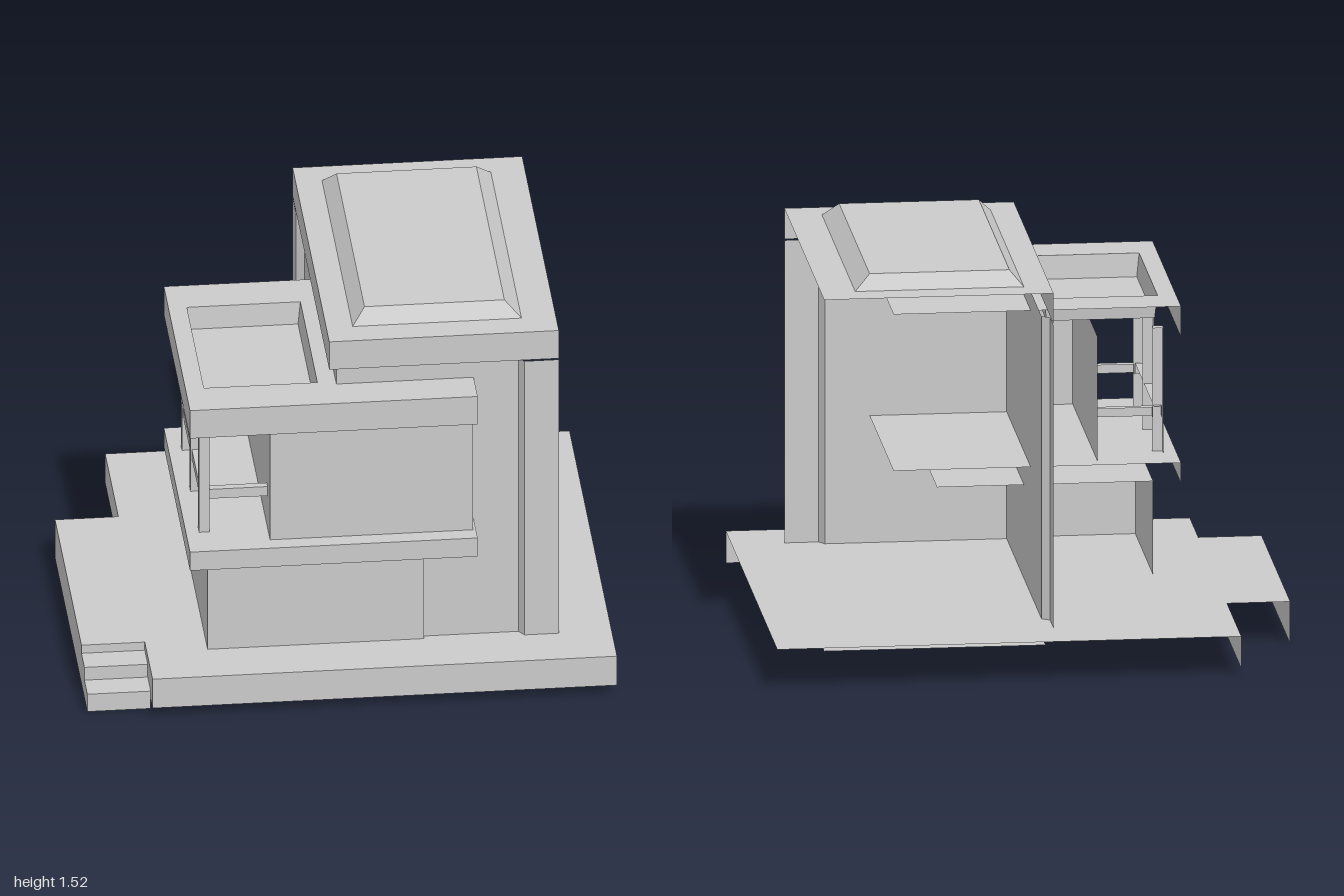
import * as THREE from 'three';

// Cutaway house: open shells showing front, left wall and top surfaces only.
export function createModel() {
  const model = new THREE.Group();
  const mat = new THREE.MeshStandardMaterial({ color: 0xcccccc, flatShading: true, side: THREE.DoubleSide });

  const add = (name, geo, parent = model) => {
    const m = new THREE.Mesh(geo, mat);
    m.name = name;
    parent.add(m);
    return m;
  };
  const group = (name) => {
    const g = new THREE.Group();
    g.name = name;
    model.add(g);
    return g;
  };

  // Strip of quads joining path a at height ya to path b at height yb; points are [x, z]
  const strip = (a, ya, b, yb, closed = false) => {
    const pos = [];
    const n = a.length;
    for (let i = 0; i < (closed ? n : n - 1); i++) {
      const j = (i + 1) % n;
      const p = [a[i][0], ya, a[i][1]], q = [a[j][0], ya, a[j][1]];
      const r = [b[j][0], yb, b[j][1]], s = [b[i][0], yb, b[i][1]];
      pos.push(...p, ...q, ...r, ...p, ...r, ...s);
    }
    const g = new THREE.BufferGeometry();
    g.setAttribute('position', new THREE.Float32BufferAttribute(pos, 3));
    g.computeVertexNormals();
    return g;
  };
  const wall = (path, y0, y1) => strip(path, y0, path, y1);
  const rect = (x0, x1, z0, z1) => [[x0, z0], [x0, z1], [x1, z1], [x1, z0]];

  // Horizontal sheet, optionally with a hole
  const sheet = (outline, y, hole) => {
    const vec = (pts) => pts.map(([x, z]) => new THREE.Vector2(x, -z));
    const shape = new THREE.Shape(vec(outline));
    if (hole) shape.holes.push(new THREE.Path(vec(hole)));
    return new THREE.ShapeGeometry(shape).rotateX(-Math.PI / 2).translate(0, y, 0);
  };

  // Block with only left, front and top faces
  const shell = (name, x0, x1, y0, y1, z0, z1, parent, hole) => {
    const r = rect(x0, x1, z0, z1);
    add(name + 'Sides', wall(r.slice(0, 3), y0, y1), parent);
    add(name + 'Top', sheet(r, y1, hole), parent);
  };

  // Ground slab with side landing
  const base = group('base');
  shell('slab', -0.76, 1, 0.04, 0.165, -0.88, 0.88, base);
  shell('landing', -1, -0.76, 0, 0.165, -0.39, 0.59, base);

  // Steps in front of the landing
  const steps = group('steps');
  shell('upperStep', -1, -0.76, 0, 0.13, 0.59, 0.7, steps);
  shell('lowerStep', -1, -0.76, 0, 0.075, 0.7, 0.81, steps);

  // Main block: recessed panels with bevelled corner pillars
  const tower = group('tower');
  const outline = [[-0.07, -0.68], [-0.07, -0.56], [-0.04, -0.54], [-0.04, 0.65], [0.65, 0.65], [0.67, 0.68], [0.8, 0.68]];
  add('towerWalls', wall(outline, 0.1, 1.345), tower);
  add('towerFloor', sheet(rect(-0.04, 0.8, -0.68, 0.65), 0.1), tower);

  // Tower roof with raised bevelled cap
  const capBase = rect(0.03, 0.67, -0.57, 0.57);
  const capTop = rect(0.08, 0.61, -0.52, 0.52);
  shell('cornice', -0.07, 0.8, 1.35, 1.47, -0.68, 0.68, tower, capBase);
  add('capSlopes', strip(capBase, 1.47, capTop, 1.525, true), tower);
  add('capTop', sheet(capTop, 1.525), tower);

  // Ground-floor side room
  const room = group('lowerRoom');
  shell('lowerRoom', -0.53, 0.29, 0.1, 0.53, 0.06, 0.67, room);
  add('lowerRoomFloor', sheet(rect(-0.53, -0.04, 0.06, 0.67), 0.1), room);

  // Balcony floor and upper room
  const upper = group('upperFloor');
  shell('balconyFloor', -0.61, 0.48, 0.58, 0.66, -0.17, 0.8, upper);
  add('upperRoomWalls', wall([[-0.3, -0.11], [-0.3, 0.735], [0.47, 0.735]], 0.66, 1.145), upper);

  // Balcony roof with sunken panel
  const pitTop = rect(-0.54, -0.11, 0, 0.63);
  const pitFloor = rect(-0.53, -0.12, 0.01, 0.62);
  shell('balconyRoof', -0.61, 0.48, 1.15, 1.27, -0.17, 0.8, upper, pitTop);
  add('roofRecessSides', strip(pitTop, 1.27, pitFloor, 1.18, true), upper);
  add('roofRecessFloor', sheet(pitFloor, 1.18), upper);

  // Posts and rails
  const railing = group('railing');
  const postZ = [-0.01, 0.31, 0.63];
  for (const z of postZ) shell('post', -0.56, -0.52, 0.66, 1.15, z - 0.02, z + 0.02, railing);
  for (const z of [postZ[0], postZ[2]]) shell('endRail', -0.52, -0.3, 0.8, 0.84, z - 0.015, z + 0.015, railing);
  shell('sideRail', -0.555, -0.525, 0.8, 0.84, postZ[0], postZ[2], railing);

  return model;
}
